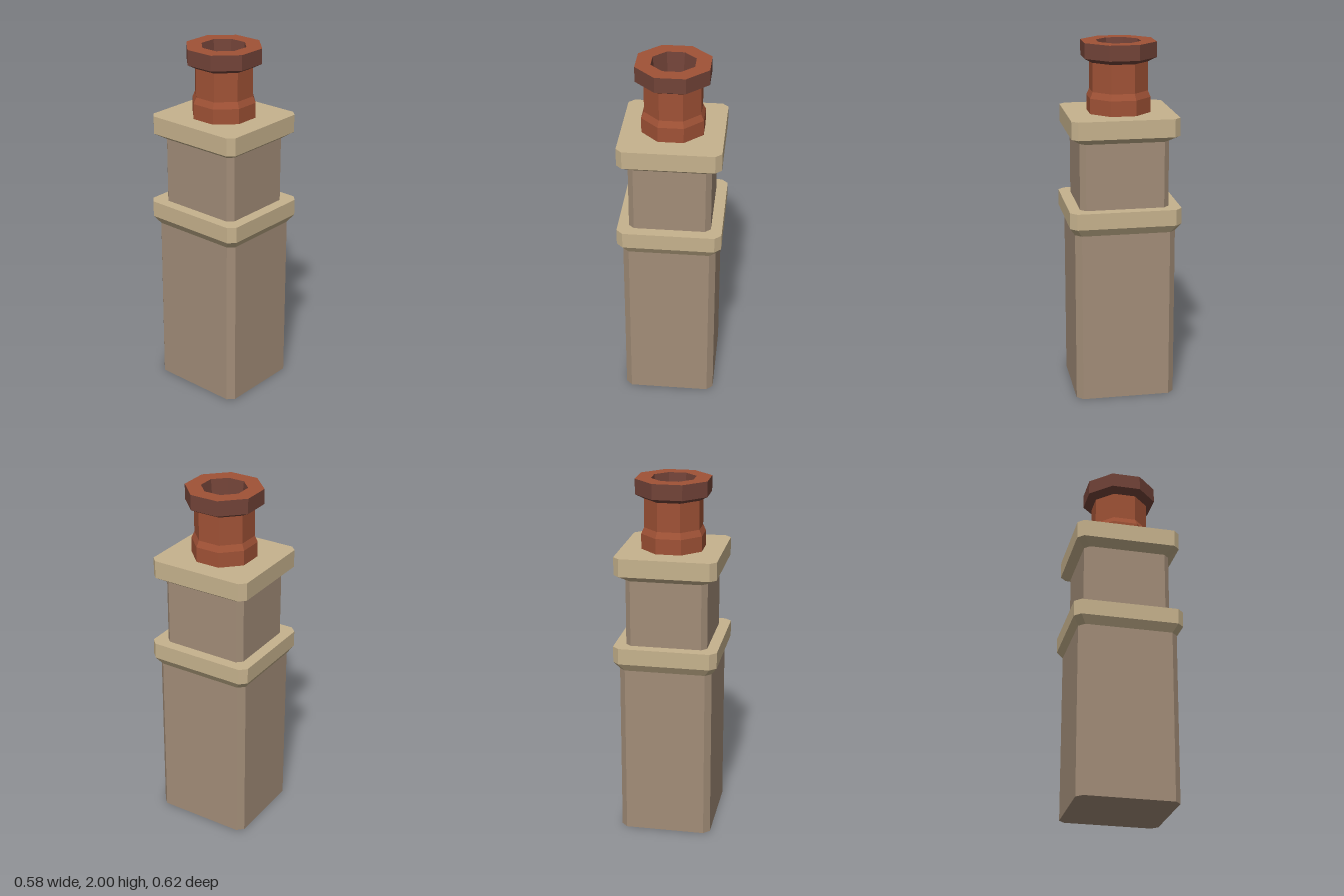
import * as THREE from 'three';

const material = (name, color) => {
  const m = new THREE.MeshStandardMaterial({ color, flatShading: true });
  m.name = name;
  return m;
};

// Rectangle with cut corners at height y, counter-clockwise from above
function ring([y, hx, hz, cut]) {
  return [
    [hx, hz - cut], [hx, -hz + cut], [hx - cut, -hz], [-hx + cut, -hz],
    [-hx, -hz + cut], [-hx, hz - cut], [-hx + cut, hz], [hx - cut, hz],
  ].map(([x, z]) => new THREE.Vector3(x, y, z));
}

// Regular octagon section with flat sides facing the axes
const octagon = (y, r) => [y, r, r, r * (1 - Math.tan(Math.PI / 8))];

// Join sections in order, with optional end caps
function loft(name, mat, sections, capStart = false, capEnd = false) {
  const rings = sections.map(ring);
  const points = [];
  for (let s = 0; s < rings.length - 1; s++) {
    for (let i = 0; i < 8; i++) {
      const j = (i + 1) % 8;
      const a = rings[s][i], b = rings[s][j], c = rings[s + 1][j], d = rings[s + 1][i];
      points.push(a, b, c, a, c, d);
    }
  }
  const first = rings[0], last = rings[rings.length - 1];
  for (let i = 1; i < 7; i++) {
    if (capStart) points.push(first[0], first[i + 1], first[i]);
    if (capEnd) points.push(last[0], last[i], last[i + 1]);
  }
  const geometry = new THREE.BufferGeometry().setFromPoints(points);
  geometry.computeVertexNormals();
  const mesh = new THREE.Mesh(geometry, mat);
  mesh.name = name;
  return mesh;
}

export function createModel() {
  const stone = material('stone brown', 0xa28d78);
  const trim = material('trim tan', 0xc6b28d);
  const clay = material('terracotta', 0xa05236);
  const darkClay = material('dark clay', 0x724338);

  const model = new THREE.Group();
  model.name = 'chimney';
  model.add(
    // Stack
    loft('lowerStack', stone, [[0, 0.257, 0.28, 0.034], [0.97, 0.257, 0.28, 0.034]], true),
    loft('lowerLedge', trim, [
      [0.97, 0.257, 0.28, 0.034], [1.015, 0.288, 0.31, 0.036], [1.105, 0.288, 0.31, 0.036],
    ], false, true),
    loft('upperStack', stone, [[1.105, 0.226, 0.247, 0.03], [1.475, 0.226, 0.247, 0.03]]),
    loft('upperLedge', trim, [
      [1.475, 0.226, 0.247, 0.03], [1.51, 0.281, 0.297, 0.034], [1.61, 0.281, 0.297, 0.034],
    ], false, true),
    // Clay pot
    loft('potNeck', clay, [
      octagon(1.61, 0.168), octagon(1.695, 0.168), octagon(1.73, 0.153), octagon(1.89, 0.153),
    ]),
    loft('potLip', darkClay, [
      octagon(1.89, 0.153), octagon(1.915, 0.198), octagon(2, 0.198),
    ]),
    loft('potRim', clay, [octagon(2, 0.198), octagon(2, 0.117)]),
    loft('potBore', darkClay, [octagon(2, 0.117), octagon(1.86, 0.102)], false, true),
  );
  return model;
}
